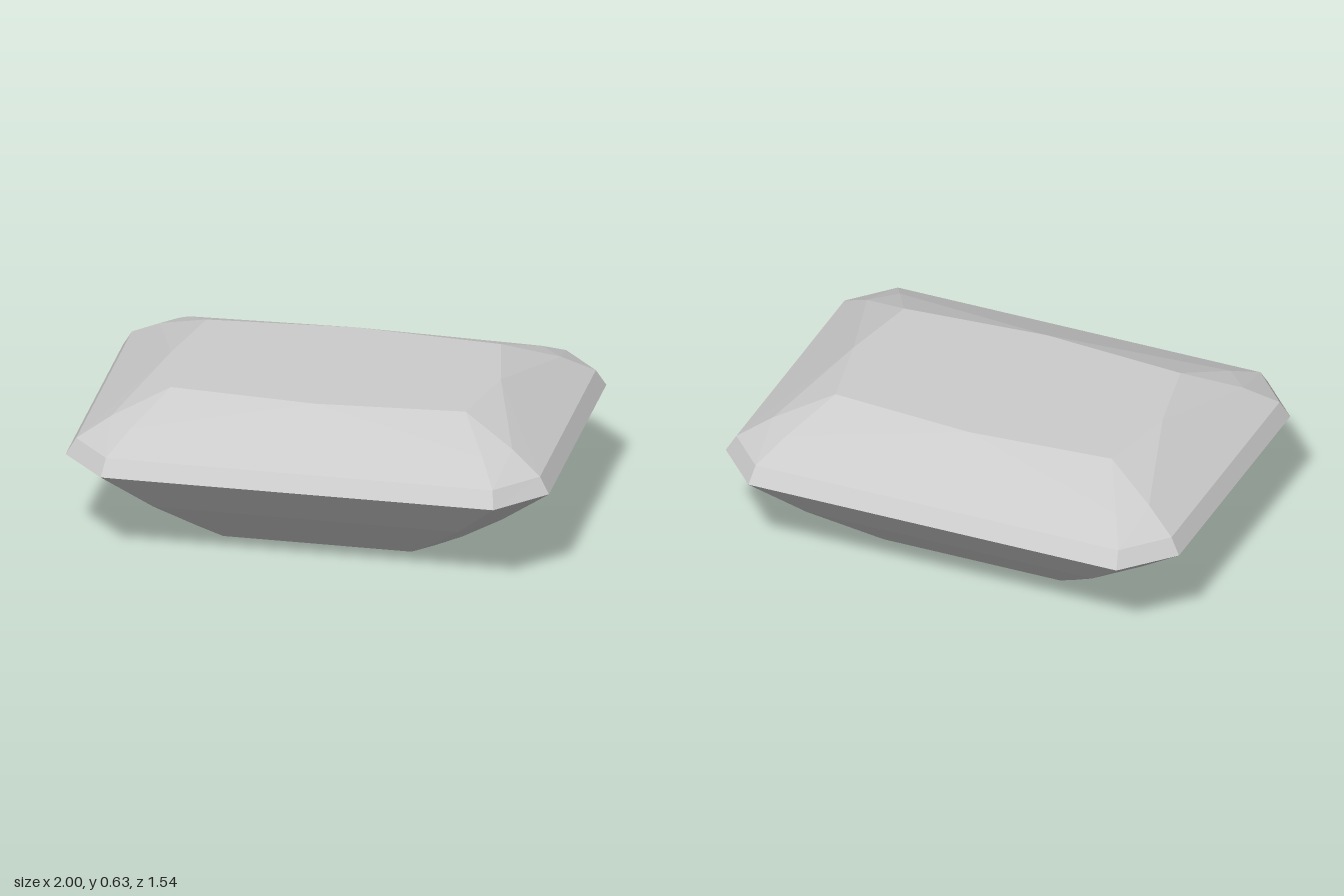
import * as THREE from 'three';

const CENTRE = new THREE.Vector3(0, 0.35, 0);
const material = new THREE.MeshStandardMaterial({ color: 0xcccccc, flatShading: true });

// Builds flat facets from one quarter (+x, +z), mirrored to all four quarters.
function facets(name, polygons) {
  const pos = [];
  for (const sx of [1, -1]) for (const sz of [1, -1]) for (const poly of polygons) {
    const p = poly.map(([x, y, z]) => new THREE.Vector3(x * sx, y, z * sz));
    for (let i = 1; i < p.length - 1; i++) {
      const tri = new THREE.Triangle(p[0], p[i], p[i + 1]);
      const outward = tri.getNormal(new THREE.Vector3()).dot(p[0].clone().sub(CENTRE)) > 0;
      for (const v of outward ? [tri.a, tri.b, tri.c] : [tri.a, tri.c, tri.b]) pos.push(v.x, v.y, v.z);
    }
  }
  const geometry = new THREE.BufferGeometry();
  geometry.setAttribute('position', new THREE.Float32BufferAttribute(pos, 3));
  geometry.computeVertexNormals();
  const mesh = new THREE.Mesh(geometry, material);
  mesh.name = name;
  return mesh;
}

// Quarter of a cut-cornered rectangle: half width, half depth and corner ends.
const ring = (y, w, d, cx, cz) => [[0, y, d], [cx, y, d], [w, y, cz], [w, y, 0]];

// Quads joining two quarter rings.
const band = (a, b) => a.slice(1).map((p, i) => [a[i], p, b[i + 1], b[i]]);

export function createModel() {
  const gem = new THREE.Group();
  gem.name = 'cutGem';

  const culet = ring(0, 0.475, 0.37, 0.39, 0.28);
  const step1 = ring(0.073, 0.597, 0.45, 0.483, 0.337);
  const step2 = ring(0.206, 0.78, 0.6, 0.63, 0.436);
  const girdle = ring(0.392, 1, 0.772, 0.812, 0.568);
  const rim = ring(0.46, 0.96, 0.727, 0.8, 0.552);

  // Stepped underside
  gem.add(facets('culet', [[[0, 0, 0], ...culet]]));
  gem.add(facets('pavilion', [...band(culet, step1), ...band(step1, step2), ...band(step2, girdle)]));
  gem.add(facets('girdle', band(girdle, rim)));

  // Crown corners and the eight-sided table
  const frontCorner = [0.73, 0.533, 0.585];
  const sideCorner = [0.83, 0.539, 0.48];
  const tableFront = [0, 0.63, 0.396];
  const tableCorner = [0.61, 0.63, 0.35];
  const tableSide = [0.682, 0.63, 0];
  gem.add(facets('crown', [
    [rim[0], rim[1], frontCorner, tableFront],
    [rim[1], rim[2], sideCorner, frontCorner],
    [rim[2], rim[3], tableSide, sideCorner],
    [tableFront, frontCorner, tableCorner],
    [frontCorner, sideCorner, tableCorner],
    [sideCorner, tableSide, tableCorner],
  ]));
  gem.add(facets('table', [[[0, 0.63, 0], tableFront, tableCorner, tableSide]]));
  return gem;
}
